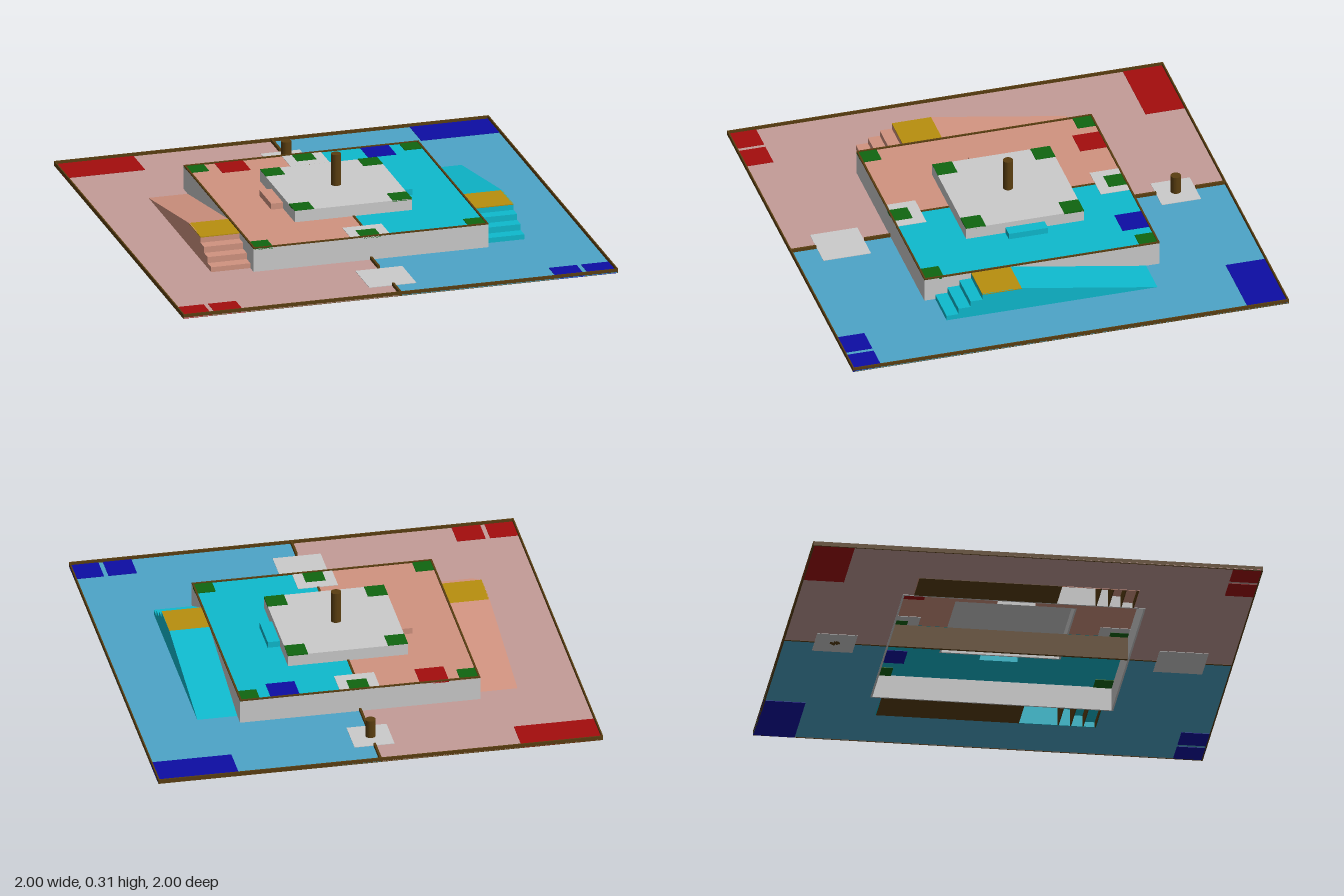
import * as THREE from 'three';

const mat = (color) => new THREE.MeshStandardMaterial({ color, flatShading: true });
const GREY = mat(0xcccccc), WOOD = mat(0x5a3e10), GREEN = mat(0x106610), YELLOW = mat(0xb88f0e);
const SIDES = [
  { s: 1, name: 'left', floor: mat(0x4da5c8), deck: mat(0x0ebace), mark: mat(0x0d0da3) },
  { s: -1, name: 'right', floor: mat(0xc49c98), deck: mat(0xd19380), mark: mat(0xa30d0d) },
];
const FLOOR = 0.005, DECK = 0.112, TOP = 0.165; // upper surface heights
const IN = 0.54, OUT = 0.72; // platform edge and outer edge of ramps

export function createModel() {
  const root = new THREE.Group();

  const add = (name, geometry, material) => {
    const m = new THREE.Mesh(geometry, material);
    m.name = name;
    root.add(m);
    return m;
  };
  // box given by its limits
  const box = (name, material, x0, x1, y0, y1, z0, z1) =>
    add(name, new THREE.BoxGeometry(Math.abs(x1 - x0), y1 - y0, z1 - z0), material)
      .position.set((x0 + x1) / 2, (y0 + y1) / 2, (z0 + z1) / 2);
  // coloured tile set through a sheet, showing above and below it
  const tile = (name, material, x0, x1, z0, z1, y, lift = 0.002) =>
    box(name, material, x0, x1, y - 0.003 - lift, y + lift, z0, z1);
  // thin horizontal sheet with an outline in x and z
  const sheet = (name, material, points, y) => {
    const shape = new THREE.Shape(points.map(([x, z]) => new THREE.Vector2(x, z)));
    const g = new THREE.ExtrudeGeometry(shape, { depth: 0.003, bevelEnabled: false });
    add(name, g.rotateX(Math.PI / 2).translate(0, y, 0), material);
  };
  // profile in z and y, extruded across x
  const profile = (name, material, points, xMid, width) => {
    const shape = new THREE.Shape(points.map(([z, y]) => new THREE.Vector2(z, y)));
    const g = new THREE.ExtrudeGeometry(shape, { depth: width, bevelEnabled: false });
    add(name, g.rotateY(-Math.PI / 2).translate(xMid + width / 2, 0, 0), material);
  };
  // square ring of four bars
  const ring = (name, material, r, w, y0, y1) => {
    for (const s of [1, -1]) {
      const a = Math.min(s * r, s * (r - w)), b = Math.max(s * r, s * (r - w));
      box(name, material, a, b, y0, y1, -r, r);
      box(name, material, -r + w, r - w, y0, y1, a, b);
    }
  };
  const post = (name, z, y0, y1) =>
    add(name, new THREE.CylinderGeometry(0.023, 0.023, y1 - y0, 24), WOOD).position.set(0, (y0 + y1) / 2, z);

  // frames and walls
  ring('fieldRim', WOOD, 1, 0.006, 0, 0.02);
  ring('platformWall', GREY, IN, 0.008, 0, DECK);
  ring('platformRim', WOOD, IN, 0.008, DECK, 0.118);
  ring('upperWall', GREY, 0.27, 0.008, DECK - 0.003, TOP - 0.003);
  box('upperDeck', GREY, -0.27, 0.27, TOP - 0.003, TOP, -0.27, 0.27);

  // centre line and the board below the platform
  for (const [a, b] of [[-1, -0.86], [-0.68, -IN], [IN, 0.66], [0.88, 1]])
    box('fieldDivider', WOOD, -0.005, 0.005, 0, 0.02, a, b);
  for (const [a, b] of [[-0.4, -0.27], [0.27, 0.4]])
    box('platformDivider', WOOD, -0.005, 0.005, DECK - 0.003, 0.115, a, b);
  box('supportBoard', WOOD, -0.006, 0.006, 0, DECK - 0.007, -IN + 0.008, IN - 0.008);

  // grey tiles and posts
  tile('backFieldTile', GREY, -0.09, 0.09, -0.86, -0.68, FLOOR);
  tile('frontFieldTile', GREY, -0.108, 0.108, 0.66, 0.878, FLOOR);
  tile('backPlatformTile', GREY, -0.09, 0.09, -IN, -0.4, DECK);
  tile('frontPlatformTile', GREY, -0.09, 0.09, 0.4, IN, DECK);
  post('centrePost', 0, TOP, 0.31);
  post('backPost', -0.77, 0, 0.09);

  // green tiles on both platforms
  for (const sz of [1, -1]) {
    for (const x of [-0.495, 0, 0.495])
      tile('platformMarker', GREEN, x - 0.045, x + 0.045, sz * 0.495 - 0.045, sz * 0.495 + 0.045, DECK, 0.003);
    for (const x of [-0.225, 0.225])
      tile('upperMarker', GREEN, x - 0.045, x + 0.045, sz * 0.225 - 0.045, sz * 0.225 + 0.045, TOP);
  }

  for (const { s, name, floor, deck, mark } of SIDES) {
    const flip = (points) => points.map(([x, z]) => [x * s, z]);
    const mid = s * (IN + OUT) / 2;

    // field half, open under the platform and stairs
    sheet(name + 'Field', floor, flip([[0, -1], [1, -1], [1, 1], [0, 1], [0, IN], [IN, IN], [IN, 0.49],
      [OUT, 0.49], [OUT, 0.145], [IN, 0.145], [IN, -IN], [0, -IN]]), FLOOR);
    // platform half, open under the upper platform and its step
    sheet(name + 'Deck', deck, flip([[0, -IN], [IN, -IN], [IN, IN], [0, IN], [0, 0.27], [0.27, 0.27],
      [0.27, 0.09], [0.325, 0.09], [0.325, -0.09], [0.27, -0.09], [0.27, -0.27], [0, -0.27]]), DECK);

    // coloured tiles
    tile(name + 'BackTile', mark, s * 0.635, s, -1, -0.815, FLOOR);
    tile(name + 'FrontOuterTile', mark, s * 0.868, s, 0.868, 1, FLOOR);
    tile(name + 'FrontInnerTile', mark, s * 0.72, s * 0.848, 0.868, 1, FLOOR);
    tile(name + 'PlatformTile', mark, s * 0.27, s * 0.4, -IN, -0.41, DECK);

    // hollow step up to the upper platform
    box(name + 'StepTop', deck, s * 0.27, s * 0.325, 0.135, 0.14, -0.09, 0.09);
    box(name + 'StepFront', deck, s * 0.32, s * 0.325, DECK - 0.003, 0.135, -0.09, 0.09);
    for (const z of [-0.09, 0.085])
      box(name + 'StepEnd', deck, s * 0.27, s * 0.32, DECK - 0.003, 0.135, z, z + 0.005);

    // ramp with a wooden base
    profile(name + 'Ramp', deck, [[-0.495, 0.002], [0.145, 0.002], [0.145, DECK]], mid, OUT - IN);
    box(name + 'RampBase', WOOD, s * IN, s * OUT, 0, 0.002, -0.49, 0.145);

    // landing, and stairs open from below
    box(name + 'Landing', YELLOW, s * IN, s * OUT, DECK - 0.004, DECK, 0.145, 0.325);
    const outline = [[0.145, 0], [0.49, 0]];
    for (let i = 0; i < 4; i++) {
      const h = DECK * (i + 1) / 4, z = 0.49 - i * 0.055;
      outline.push([z, h], [i < 3 ? z - 0.055 : 0.145, h]);
      box(name + 'Riser', deck, s * IN, s * (OUT - 0.004), i * DECK / 4, h - 0.004, z - 0.003, z);
      box(name + 'RiserBoard', WOOD, s * IN, s * (OUT - 0.004), 0, h - 0.004, z - 0.008, z - 0.003);
      if (i < 3) box(name + 'Tread', deck, s * IN, s * (OUT - 0.004), h - 0.004, h, z - 0.055, z);
    }
    profile(name + 'StairSide', deck, outline, s * (OUT - 0.002), 0.004);
  }
  return root;
}
